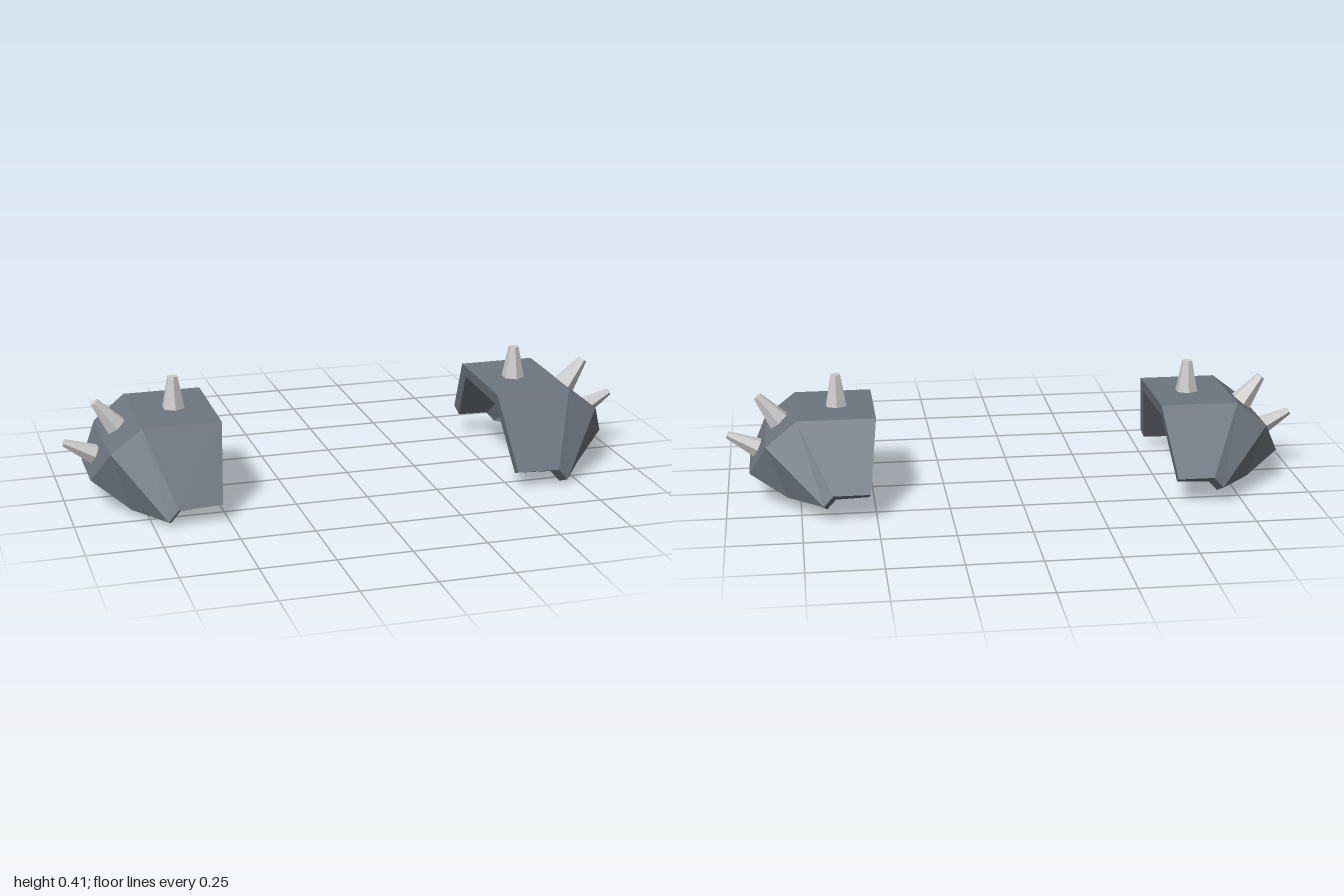
import * as THREE from 'three';

const shellMat = new THREE.MeshStandardMaterial({ color: 0x6d757f, flatShading: true });
const spikeMat = new THREE.MeshStandardMaterial({ color: 0xcccccc, flatShading: true });

// Corners of the pad: outer skin (capital letters) and inner skin (lower case),
// for the front half and the back half.
// A/B inner and outer top, C shoulder, D side, E/F flap end, G flap corner, H flap underside
const FRONT = {
  A: [0.49, 0.3, 0.185], B: [0.757, 0.3, 0.185], C: [0.863, 0.218, 0.18], D: [0.921, 0.104, 0.095],
  E: [0.521, 0.059, 0.321], F: [0.67, 0.056, 0.326], G: [0.703, 0.018, 0.327], H: [0.8, 0.018, 0.18],
  a: [0.496, 0.257, 0.158], b: [0.74, 0.257, 0.158], c: [0.828, 0.193, 0.146], d: [0.886, 0.075, 0.075],
  e: [0.525, 0.043, 0.279], f: [0.655, 0.038, 0.283], g: [0.69, 0, 0.287], h: [0.763, 0.011, 0.155],
};
const BACK = {
  A: [0.49, 0.309, -0.18], B: [0.757, 0.309, -0.18], C: [0.863, 0.222, -0.182], D: [0.921, 0.107, -0.112],
  E: [0.521, 0.096, -0.342], F: [0.645, 0.096, -0.342], G: [0.677, 0.06, -0.343], H: [0.795, 0.045, -0.195],
  a: [0.496, 0.266, -0.156], b: [0.74, 0.266, -0.156], c: [0.828, 0.197, -0.148], d: [0.886, 0.075, -0.088],
  e: [0.525, 0.073, -0.3], f: [0.635, 0.07, -0.302], g: [0.665, 0.036, -0.298], h: [0.76, 0.035, -0.172],
};

function shellGeometry(side) {
  const pos = [];
  const face = (pts, flip) => {
    // keep the first corner so the fan splits the same way on both halves
    const p = flip !== (side < 0) ? [pts[0], ...pts.slice(1).reverse()] : pts;
    for (let i = 1; i < p.length - 1; i++)
      for (const [x, y, z] of [p[0], p[i], p[i + 1]]) pos.push(x * side, y, z);
  };
  const skin = (inner) => {
    const pick = (half, names) => [...(inner ? names.toLowerCase() : names)].map((n) => half[n]);
    // sloping flaps
    for (const names of ['AEFB', 'BFG', 'BGC', 'CGHD']) {
      face(pick(FRONT, names), inner);
      face(pick(BACK, names), !inner);
    }
    // top, shoulder slope and side
    for (const names of ['AB', 'BC', 'CD'])
      face([...pick(FRONT, names), ...pick(BACK, names).reverse()], inner);
  };
  skin(false);
  skin(true);

  // rim joining both skins
  const loop = [...'AEFGHD'].map((n) => [FRONT, n]).concat([...'DHGFEA'].map((n) => [BACK, n]));
  loop.forEach(([half, n], i) => {
    const [half2, n2] = loop[(i + 1) % loop.length];
    face([half2[n2], half[n], half[n.toLowerCase()], half2[n2.toLowerCase()]], false);
  });

  const geo = new THREE.BufferGeometry();
  geo.setAttribute('position', new THREE.Float32BufferAttribute(pos, 3));
  geo.computeVertexNormals();
  return geo;
}

// Blunt six-sided spike from base to tip
function spike(name, side, base, tip, rBase, rTip) {
  const from = new THREE.Vector3(base[0] * side, base[1], base[2]);
  const dir = new THREE.Vector3(tip[0] * side, tip[1], tip[2]).sub(from);
  const mesh = new THREE.Mesh(new THREE.CylinderGeometry(rTip, rBase, dir.length(), 6), spikeMat);
  mesh.name = name;
  mesh.position.copy(from).addScaledVector(dir, 0.5);
  mesh.quaternion.setFromUnitVectors(new THREE.Vector3(0, 1, 0), dir.normalize());
  return mesh;
}

function shoulderPad(side, name) {
  const pad = new THREE.Group();
  pad.name = name;
  const shell = new THREE.Mesh(shellGeometry(side), shellMat);
  shell.name = 'shell';
  pad.add(
    shell,
    spike('topSpike', side, [0.617, 0.29, 0], [0.617, 0.415, 0], 0.043, 0.018),
    spike('upperSpike', side, [0.808, 0.247, 0], [0.885, 0.346, 0.001], 0.043, 0.016),
    spike('sideSpike', side, [0.872, 0.153, -0.002], [0.993, 0.213, 0], 0.039, 0.013),
  );
  return pad;
}

export function createModel() {
  const model = new THREE.Group();
  model.name = 'shoulderPads';
  const left = shoulderPad(1, 'leftPad');
  const right = shoulderPad(-1, 'rightPad');
  right.position.z = 0.015;
  model.add(left, right);
  return model;
}
